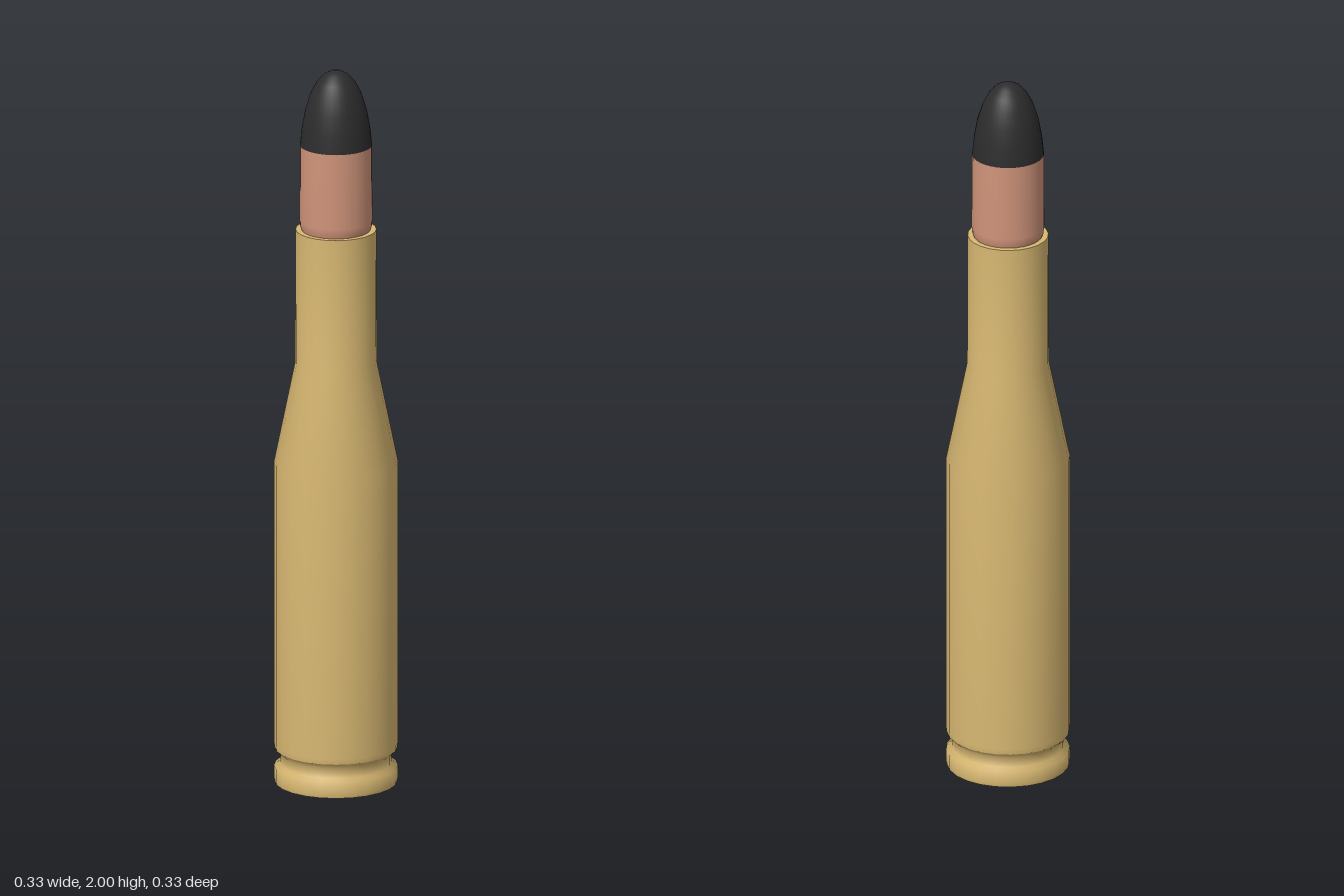
import * as THREE from 'three';

const material = (name, color) => new THREE.MeshStandardMaterial({ name, color });

// Revolve a bottom-to-top list of [radius, height] pairs around y.
function turned(name, profile, sides, mat) {
  const points = profile.map(([r, y]) => new THREE.Vector2(r, y));
  const mesh = new THREE.Mesh(new THREE.LatheGeometry(points, sides), mat);
  mesh.name = name;
  return mesh;
}

export function createModel() {
  const brass = material('brass', 0xd8b872);
  const copper = material('copper', 0xd0947a);
  const black = material('black', 0x2c2c2c);
  const group = new THREE.Group();
  group.name = 'cartridge';

  // Flat base, rim and extractor groove
  group.add(turned('base', [[0, 0], [0.165, 0]], 24, brass));
  group.add(turned('rim', [
    [0.165, 0], [0.167, 0.01], [0.167, 0.045], [0.15, 0.052],
    [0.15, 0.08], [0.165, 0.095],
  ], 24, brass));

  // Case body, sloping shoulder and neck
  group.add(turned('caseBody', [
    [0.165, 0.095], [0.167, 0.11], [0.167, 0.9], [0.11, 1.18], [0.109, 1.553],
  ], 24, brass));

  // Flat mouth around the bullet
  group.add(turned('caseMouth', [[0.109, 1.553], [0.09, 1.553]], 24, brass));

  // Copper jacket, tucked slightly in at the mouth
  group.add(turned('bulletJacket', [
    [0.088, 1.54], [0.096, 1.56], [0.098, 1.58], [0.097, 1.79],
  ], 32, copper));

  // Rounded black tip
  group.add(turned('bulletTip', [
    [0.097, 1.79], [0.092, 1.84], [0.083, 1.89], [0.069, 1.935],
    [0.052, 1.967], [0.034, 1.987], [0.016, 1.997], [0, 2],
  ], 32, black));

  return group;
}
